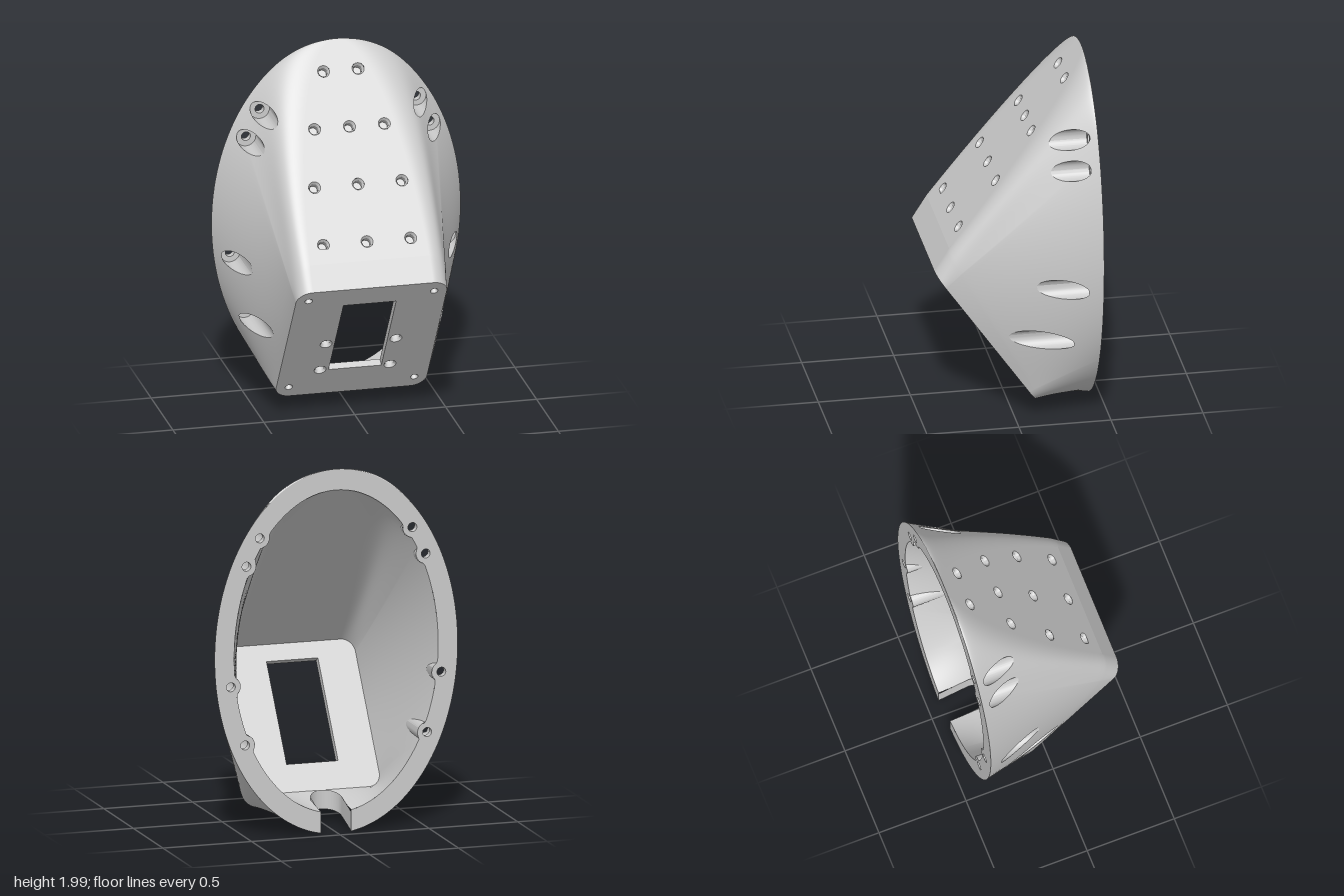
import * as THREE from 'three';
import { toCreasedNormals } from 'three/addons/utils/BufferGeometryUtils.js';

const mat = new THREE.MeshStandardMaterial({ color: 0xcccccc });
const matDouble = new THREE.MeshStandardMaterial({ color: 0xcccccc, side: THREE.DoubleSide });
const mix = THREE.MathUtils.lerp;
const BACK = -0.43, KINK = 0.88, BORE = 0.055, SCREW = 0.025, SLOT = 0.085, PLATE = 0.04, SKIN = 0.004;

// Screw positions on the rim (x, y), both sides
const SCREWS = [[0.43, 1.65], [0.505, 1.5], [0.593, 0.845], [0.513, 0.52]]
  .flatMap(([x, y]) => [[x, y], [-x, y]]);

// Loft stations: 0 = elliptical back, 1 = rounded rectangle at the front plate
const STATIONS = [];
for (let j = 0; j <= 50; j++) STATIONS.push(j <= 44 ? KINK * (j / 44) ** 1.6 : KINK + (j - 44) * 0.02);

// Skins: back half width, front half width, corner radius, (y, z) of ridge and keel
const OUTER = { w0: 0.685, w1: 0.415, r: 0.085, top: [[2, BACK], [1.016, 0.349], [0.89, 0.43]], bottom: [[0, BACK], [0.1, -0.12]] };
const INNER = { w0: 0.575, w1: 0.36, r: 0.07, top: [[1.885, BACK], [0.994, 0.274], [0.872, 0.37]], bottom: [[0.115, BACK], [0.17, -0.12]] };

const flatTop = (s, t) => (s.w1 - s.r) * Math.sqrt(1 - (1 - t) ** 2);

// One cross-section: from the right end of the flat top, round the bottom, to the left end
function section(s, t) {
  const seg = t <= KINK ? 0 : 1;
  const k = seg ? (t - KINK) / (1 - KINK) : t / KINK;
  const top = [0, 1].map(i => mix(s.top[seg][i], s.top[seg + 1][i], k));
  const bottom = [0, 1].map(i => mix(s.bottom[0][i], s.bottom[1][i], t));
  const half = [], flat = s.w1 - s.r, widen = flatTop(s, t) - flat * t;
  // ellipse at angle a (degrees above the middle) blended into (x1, q1) of the rounded rectangle
  const blend = (a, x1, q1, extra = 0) => {
    const b = a * Math.PI / 180;
    half.push([mix(s.w0 * Math.cos(b), x1, t) + extra, mix(Math.sin(b), 0.48 * q1, t) / mix(1, 0.48, t)]);
  };
  for (let i = 0; i < 44; i++) {
    const p = 1 - i / 44, c = p * Math.PI / 2;
    blend(37 + 53 * p, flat + s.r * Math.cos(c), 0.82 + 0.18 * Math.sin(c), widen * Math.sin(c) ** 2);
  }
  for (let i = 0; i < 30; i++) blend(37 - 74 * i / 30, s.w1, 0.82 - 1.64 * i / 30);
  for (let i = 0; i < 30; i++) {
    const c = (i / 30) * Math.PI / 2;
    blend(-37 - 23 * i / 30, flat + s.r * Math.cos(c), -0.82 - 0.18 * Math.sin(c));
  }
  for (let i = 0; i <= 16; i++) blend(-60 - 30 * i / 16, flat * (1 - i / 16), -1);
  const ring = half.concat(half.slice(0, -1).reverse().map(([x, q]) => [-x, q]));
  return ring.map(([x, q]) => [x, mix(bottom[0], top[0], (1 + q) / 2), mix(bottom[1], top[1], (1 + q) / 2)]);
}

// Loft as a list of triangles with smooth normals; the flat top closes from station closeFrom
function loft(s, outward, closeFrom) {
  const rings = STATIONS.map(t => section(s, t)), n = rings[0].length, index = [];
  for (let j = 0; j < rings.length - 1; j++) for (let i = 0; i < n; i++) {
    if (i === n - 1 && j < closeFrom) continue;
    const i2 = (i + 1) % n, a = j * n + i, b = j * n + i2, c = a + n, d = b + n;
    index.push(...(outward ? [a, c, b, b, c, d] : [a, b, c, b, d, c]));
  }
  const g = new THREE.BufferGeometry();
  g.setAttribute('position', new THREE.Float32BufferAttribute(rings.flat(2), 3));
  g.setIndex(index);
  g.computeVertexNormals();
  const v = rings.flat().map((p, i) => ({
    p: new THREE.Vector3(...p),
    n: new THREE.Vector3().fromBufferAttribute(g.attributes.normal, i),
  }));
  const tris = [];
  for (let i = 0; i < index.length; i += 3) tris.push([v[index[i]], v[index[i + 1]], v[index[i + 2]]]);
  return tris;
}

// Remove the region f < 0 from a triangle list; edges collects the cut line
function cut(tris, f, edges = []) {
  const out = [];
  for (const tri of tris) {
    const d = tri.map(v => f(v.p));
    if (d.every(x => x > 0)) { out.push(tri); continue; }
    if (d.every(x => x <= 0)) continue;
    const poly = [], seam = [];
    tri.forEach((a, i) => {
      const k = (i + 1) % 3, b = tri[k];
      if (d[i] > 0) poly.push(a);
      if ((d[i] > 0) === (d[k] > 0)) return;
      let lo = 0, hi = 1;
      for (let s = 0; s < 20; s++) {
        const m = (lo + hi) / 2;
        if ((f(a.p.clone().lerp(b.p, m)) > 0) === (d[i] > 0)) lo = m; else hi = m;
      }
      const v = { p: a.p.clone().lerp(b.p, lo), n: a.n.clone().lerp(b.n, lo).normalize() };
      poly.push(v);
      seam.push(v.p);
    });
    edges.push(seam);
    for (let i = 2; i < poly.length; i++) out.push([poly[0], poly[i - 1], poly[i]]);
  }
  return out;
}

function skinGeometry(tris) {
  const g = new THREE.BufferGeometry(), v = tris.flat();
  g.setAttribute('position', new THREE.Float32BufferAttribute(v.flatMap(a => a.p.toArray()), 3));
  g.setAttribute('normal', new THREE.Float32BufferAttribute(v.flatMap(a => a.n.toArray()), 3));
  return g;
}

// Wall swept from a cut line to its image under move
function wallGeometry(edges, move) {
  const g = new THREE.BufferGeometry();
  const pts = edges.flatMap(([a, b]) => [a, b, move(a), b, move(b), move(a)]);
  g.setAttribute('position', new THREE.Float32BufferAttribute(pts.flatMap(p => p.toArray()), 3));
  return toCreasedNormals(g, 0.7);
}

export function createModel() {
  const model = new THREE.Group();
  const add = (name, geo, material = mat, parent = model) => {
    const m = new THREE.Mesh(geo, material);
    m.name = name;
    parent.add(m);
    return m;
  };

  // Shell skins with the screw bores and the cable slot cut out
  let outer = loft(OUTER, true, 44), inner = loft(INNER, false, 0);
  for (const [x, y] of SCREWS) {
    const f = p => Math.hypot(p.x - x, p.y - y) - BORE, edges = [];
    outer = cut(outer, f, edges);
    inner = cut(inner, f);
    add('screwBore', wallGeometry(edges, p => new THREE.Vector3(p.x, p.y, BACK)), matDouble);
    add('boreFloor', new THREE.RingGeometry(SCREW, BORE, 32)).position.set(x, y, -0.39);
    add('screwHole', new THREE.CylinderGeometry(SCREW, SCREW, 0.04, 24, 1, true).rotateX(Math.PI / 2), matDouble)
      .position.set(x, y, -0.41);
  }
  const slot = p => p.y > 0.5 ? 1 : Math.hypot(p.x, Math.max(0, p.z + 0.265)) - SLOT;
  const slotEdges = [];
  outer = cut(outer, slot, slotEdges);
  inner = cut(inner, slot);
  add('slotWall', wallGeometry(slotEdges, p => new THREE.Vector3(p.x, p.y + 0.105, p.z)), matDouble);
  add('outerShell', skinGeometry(outer));
  add('innerShell', skinGeometry(inner));

  // Back rim: open at the slot, swelling inwards round each screw
  const rimPoint = (rx, ry, k, bosses) => {
    const a0 = Math.asin(SLOT / rx), a = mix(a0, 2 * Math.PI - a0, k);
    const p = new THREE.Vector2(rx * Math.sin(a), -ry * Math.cos(a));
    let len = p.length();
    const dir = p.clone().normalize();
    for (const [x, y] of bosses) {
      const m = x * dir.x + (y - 1) * dir.y, h = BORE ** 2 - (x * x + (y - 1) ** 2 - m * m);
      if (m > 0 && h > 0) len = Math.min(len, m - Math.sqrt(h));
    }
    return dir.multiplyScalar(len).add(new THREE.Vector2(0, 1));
  };
  const rimOut = [], rimIn = [];
  for (let i = 0; i <= 300; i++) {
    rimOut.push(rimPoint(OUTER.w0, 1, i / 300, []));
    rimIn.push(rimPoint(INNER.w0, 0.885, i / 300, SCREWS));
  }
  const rim = new THREE.Shape(rimOut.concat(rimIn.reverse()));
  for (const [x, y] of SCREWS) rim.holes.push(new THREE.Path().absarc(x, y, SCREW, 0, Math.PI * 2));
  add('backRim', new THREE.ShapeGeometry(rim, 12).rotateY(Math.PI)).position.z = BACK;

  // Flat face with blind countersunk holes, standing on (y0, z0) and leaning towards (y1, z1)
  function face(name, shape, [y0, z0], [y1, z1], depth, holes, build) {
    const g = new THREE.Group();
    g.name = name;
    g.position.set(0, y0, z0);
    g.rotation.x = Math.atan2(z1 - z0, y1 - y0);
    for (const [x, y, r] of holes) {
      const v = (y - y0) / Math.cos(g.rotation.x);
      shape.holes.push(new THREE.Path().absarc(x, v, r, 0, Math.PI * 2));
      const profile = [[r, 0], [r * 0.72, -0.015], [r * 0.72, -depth], [0, -depth]].map(p => new THREE.Vector2(...p));
      const hole = toCreasedNormals(new THREE.LatheGeometry(profile, 24).rotateX(Math.PI / 2), 0.5);
      add('blindHole', hole, matDouble, g).position.set(x, v, 0);
    }
    add(name + 'Body', build(shape), mat, g);
    model.add(g);
    return g;
  }
  const slab = (shape, front, depth) => toCreasedNormals(new THREE.ExtrudeGeometry(shape,
    { depth, bevelEnabled: false, curveSegments: 16 }).translate(0, 0, front - depth), 0.6);

  // Sloping top panel
  const [tip, kink] = OUTER.top, length = Math.hypot(tip[0] - kink[0], tip[1] - kink[1]);
  const edge = STATIONS.slice(0, 45).map(t => new THREE.Vector2(flatTop(OUTER, t), length * (1 - t / KINK)));
  const mirrored = edge.slice(1).reverse().map(p => new THREE.Vector2(-p.x, p.y));
  const panelHoles = [[0.095, 1.86], [0.192, 1.61], [0.24, 1.355], [0.24, 1.1]].flatMap(([x, y], i) =>
    (i ? [-x, 0, x] : [-x, x]).map(px => [px, y, 0.033]));
  face('topPanel', new THREE.Shape(mirrored.concat(edge)), kink, tip, 0.05, panelHoles,
    shape => new THREE.ShapeGeometry(shape, 16));

  // Front plate with a rectangular window, closed behind its blind holes
  const w = OUTER.w1, r = OUTER.r, h = Math.hypot(0.79, 0.55), up = 0.79 / h;
  const plate = new THREE.Shape();
  plate.absarc(w - r, r, r, -Math.PI / 2, 0);
  plate.absarc(w - r, h - r, r, 0, Math.PI / 2);
  plate.absarc(r - w, h - r, r, Math.PI / 2, Math.PI);
  plate.absarc(r - w, r, r, Math.PI, Math.PI * 1.5);
  const [low, high] = [0.28, 0.77].map(y => (y - 0.1) / up);
  plate.holes.push(new THREE.Path([[-0.145, low], [-0.145, high], [0.145, high], [0.145, low]]
    .map(p => new THREE.Vector2(...p))));
  const plateBack = slab(plate.clone(), SKIN - PLATE, SKIN);
  const plateHoles = [[0.345, 0.825, 0.021], [0.345, 0.168, 0.021], [0.192, 0.48, 0.033], [0.192, 0.283, 0.033]]
    .flatMap(([x, y, q]) => [[x, y, q], [-x, y, q]]);
  const front = face('frontPlate', plate, [0.1, -0.12], [0.89, 0.43], PLATE - SKIN, plateHoles,
    shape => slab(shape, 0, PLATE - SKIN));
  add('frontPlateBack', plateBack, mat, front);

  return model;
}
